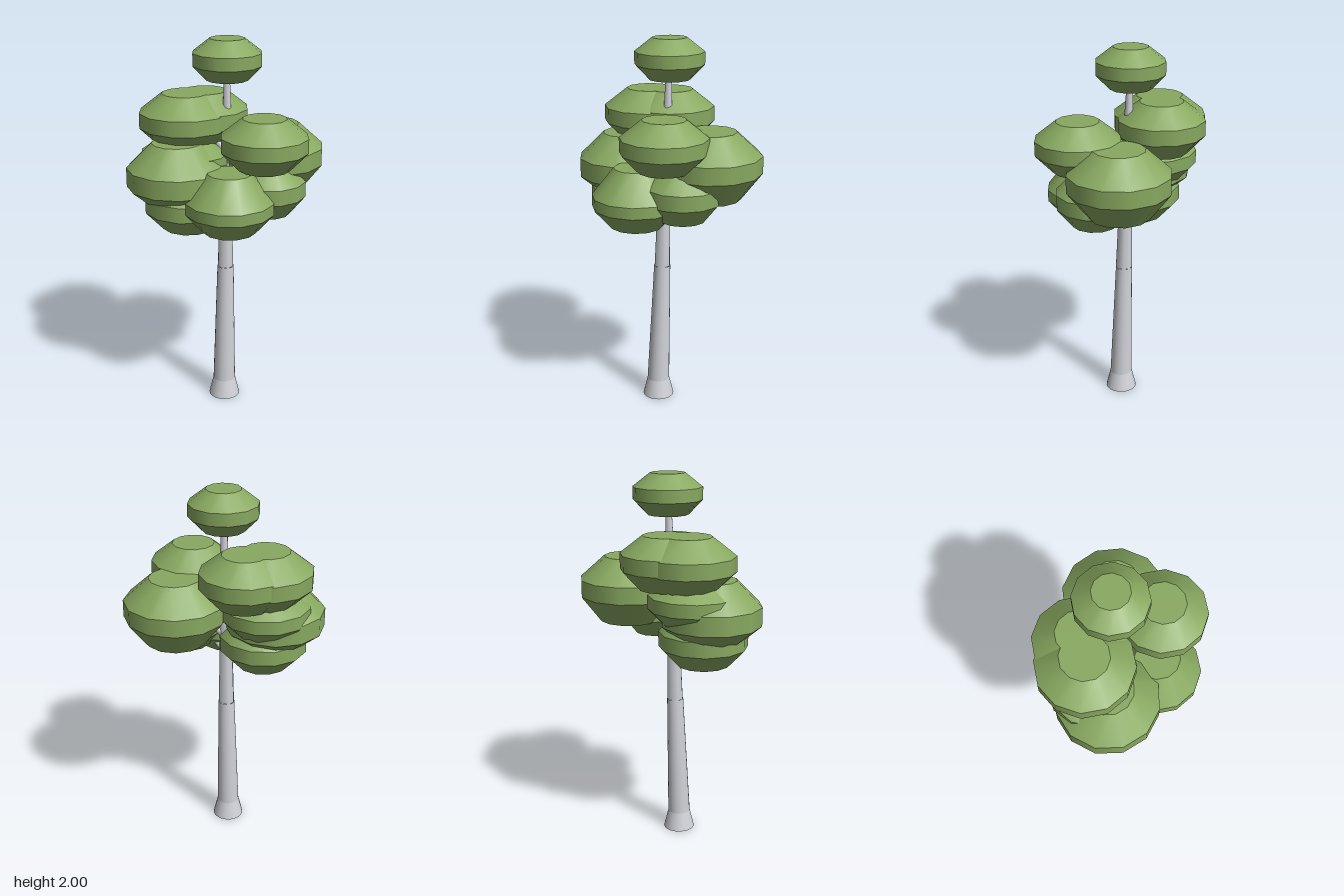
import * as THREE from 'three';
import { mergeGeometries } from 'three/addons/utils/BufferGeometryUtils.js';

// [x, z, radius, four ring heights from bottom to top, turn in degrees]
const CLUMPS = [
  [0.005, -0.02, 0.18, [1.79, 1.865, 1.93, 2.0], 5],
  [-0.22, 0.005, 0.243, [1.44, 1.535, 1.615, 1.71], 5],
  [-0.145, -0.09, 0.23, [1.44, 1.54, 1.62, 1.71], 5],
  [0.25, 0.105, 0.224, [1.38, 1.475, 1.55, 1.64], 5],
  [0.21, -0.165, 0.267, [1.2, 1.34, 1.43, 1.55], 0],
  [-0.215, 0.135, 0.263, [1.16, 1.25, 1.35, 1.48], 26],
  [0.1, 0.2, 0.23, [1.06, 1.165, 1.225, 1.37], 5],
  [-0.16, 0.115, 0.235, [1.02, 1.12, 1.2, 1.34], 10],
  [0.235, 0, 0.2, [1.11, 1.21, 1.29, 1.39], 8],
  [-0.205, 0.04, 0.235, [1.24, 1.34, 1.41, 1.49], 12],
];

// Band between two rings, smooth around and open at the ends
function band(r0, y0, r1, y1, sides) {
  return new THREE.CylinderGeometry(r1, r0, y1 - y0, sides, 1, true).translate(0, (y0 + y1) / 2, 0);
}

// Foliage clump: three hard-edged bands closed by flat caps
function clumpGeometry(r, ys, turn) {
  const rs = [r * 0.6, r, r, r * 0.5];
  const parts = [0, 1, 2].map(i => band(rs[i], ys[i], rs[i + 1], ys[i + 1], 12));
  // cap spokes start on the same axis as the band corners
  parts.push(new THREE.CircleGeometry(rs[3], 12).rotateX(-Math.PI / 2).translate(0, ys[3], 0));
  parts.push(new THREE.CircleGeometry(rs[0], 12).rotateX(Math.PI / 2).translate(0, ys[0], 0));
  return mergeGeometries(parts).rotateY(THREE.MathUtils.degToRad(turn));
}

// Tapered trunk piece, sheared so that it leans between its end centres
function leaning(r0, [x0, y0, z0], r1, [x1, y1, z1], sides) {
  const g = band(r0, y0, r1, y1, sides);
  const p = g.attributes.position;
  for (let i = 0; i < p.count; i++) {
    const t = (p.getY(i) - y0) / (y1 - y0);
    p.setX(i, p.getX(i) + x0 + (x1 - x0) * t);
    p.setZ(i, p.getZ(i) + z0 + (z1 - z0) * t);
  }
  return g;
}

export function createModel() {
  const tree = new THREE.Group();
  tree.name = 'tree';
  const leaf = new THREE.MeshStandardMaterial({ color: 0x88a860 });
  leaf.name = 'leafGreen';
  const bark = new THREE.MeshStandardMaterial({ color: 0xd0d2d8, side: THREE.DoubleSide });
  bark.name = 'paleBark';
  const add = (name, geometry, material) => {
    const mesh = new THREE.Mesh(geometry, material);
    mesh.name = name;
    tree.add(mesh);
  };

  // Trunk: flared foot, smooth stem, faceted crown stem
  const foot = [0.015, 0, 0.05], ankle = [0.015, 0.1, 0.05];
  const fork = [0.013, 0.78, 0.025], upper = [0.01, 1.12, 0.015];
  const neck = [0.008, 1.66, -0.01], tip = [0.005, 1.82, -0.015];
  add('trunkFoot', leaning(0.085, foot, 0.061, ankle, 20), bark);
  add('trunk', leaning(0.061, ankle, 0.044, fork, 20), bark);
  add('upperTrunk', leaning(0.044, fork, 0.036, upper, 8), bark);
  add('crownTrunk', leaning(0.036, upper, 0.022, neck, 8), bark);
  add('topTrunk', leaning(0.022, neck, 0.016, tip, 8), bark);

  // Branches reach from the crown trunk into the side clumps
  CLUMPS.slice(1).forEach(([x, z, , ys]) => {
    const start = new THREE.Vector3(0.01, ys[0] - 0.02, 0.012);
    const end = new THREE.Vector3(x * 0.8, (ys[1] + ys[2]) / 2, z * 0.8);
    const middle = start.clone().lerp(end, 0.5).add(new THREE.Vector3(0, 0.02, 0));
    const path = new THREE.QuadraticBezierCurve3(start, middle, end);
    add('branch', new THREE.TubeGeometry(path, 4, 0.016, 6), bark);
  });

  // Foliage
  CLUMPS.forEach(([x, z, r, ys, turn], i) => {
    const g = clumpGeometry(r, ys, turn).translate(x, 0, z);
    add(i === 0 ? 'topFoliage' : 'foliageClump', g, leaf);
  });
  return tree;
}
